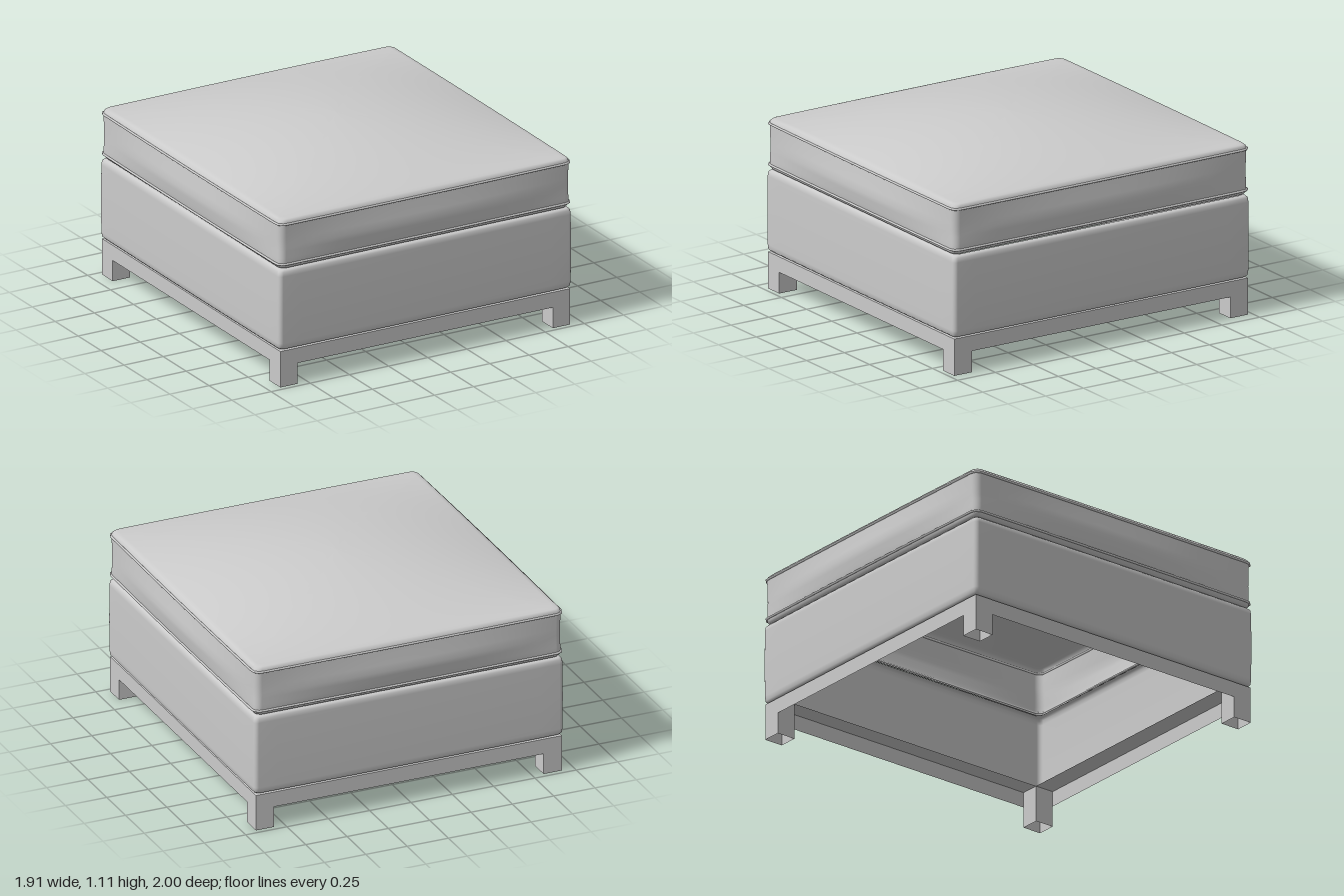
import * as THREE from 'three';

const material = new THREE.MeshStandardMaterial({ color: 0xcccccc, side: THREE.DoubleSide });
const flatMaterial = new THREE.MeshStandardMaterial({ color: 0xcccccc, side: THREE.DoubleSide, flatShading: true });

// Rounded rectangle in plan, its sides swelling outwards by `bulge` at the middle
function outline(hx, hz, r, bulge = 0) {
  const pts = [];
  const corners = [[1, 1], [-1, 1], [-1, -1], [1, -1]];
  corners.forEach(([sx, sz], c) => {
    for (let i = 0; i <= 6; i++) {
      const a = (c + i / 6) * Math.PI / 2;
      pts.push([sx * (hx - r) + r * Math.cos(a), sz * (hz - r) + r * Math.sin(a)]);
    }
    const [nx, nz] = corners[(c + 1) % 4];
    const alongX = c % 2 === 0;
    for (let i = 1; i < 16; i++) {
      const t = i / 8 - 1;
      const out = bulge * (1 - t * t);
      pts.push(alongX
        ? [sx * (hx - r) * -t, sz * (hz + out)]
        : [nx * (hx + out), nz * (hz - r) * t]);
    }
  });
  return pts;
}

// Skin a stack of closed loops of [x, y, z] points, bottom to top
function loft(loops) {
  const n = loops[0].length;
  const index = [];
  for (let j = 0; j < loops.length - 1; j++) {
    for (let i = 0; i < n; i++) {
      const a = j * n + i, b = j * n + (i + 1) % n;
      index.push(a, a + n, b, b, a + n, b + n);
    }
  }
  const geo = new THREE.BufferGeometry();
  geo.setAttribute('position', new THREE.Float32BufferAttribute(loops.flat(2), 3));
  geo.setIndex(index);
  geo.computeVertexNormals();
  return geo;
}

const ring = (y, hx, hz, r, bulge) => outline(hx, hz, r, bulge).map(([x, z]) => [x, y, z]);

export function createModel() {
  const model = new THREE.Group();
  const add = (name, geo, mat = material, parent = model) => {
    const mesh = new THREE.Mesh(geo, mat);
    mesh.name = name;
    parent.add(mesh);
    return mesh;
  };

  // Upholstered base: hollow shell with softened rims
  const baseRows = [[0.218, 0.905, 0.95], [0.221, 0.922, 0.967], [0.232, 0.932, 0.977], [0.26, 0.935, 0.98],
    [0.45, 0.936, 0.981], [0.655, 0.935, 0.98], [0.68, 0.932, 0.977], [0.69, 0.922, 0.967], [0.693, 0.905, 0.95]];
  add('upholsteredBase', loft(baseRows.map(([y, hx, hz]) => ring(y, hx, hz, 0.025, 0.003))));

  // Cushion sides: [height, half width, half depth, swelling]
  const sideRows = [[0.695, 0.9, 0.95, 0], [0.7, 0.918, 0.968, 0], [0.712, 0.928, 0.974, 0.003], [0.725, 0.93, 0.976, 0.006],
    [0.76, 0.929, 0.975, 0.014], [0.8, 0.928, 0.974, 0.021], [0.83, 0.927, 0.974, 0.026],
    [0.87, 0.928, 0.974, 0.02], [0.92, 0.929, 0.975, 0.012], [0.962, 0.93, 0.976, 0.006]];
  add('cushionSides', loft(sideRows.map(([y, hx, hz, b]) => ring(y, hx, hz, 0.04, b))));

  // Cushion top: rolled edge rising into a shallow dome
  const dome = (x, z) => 0.988 + 0.124 * Math.max(0, 1 - (x / 0.93) ** 2) * Math.max(0, 1 - (z / 0.975) ** 2);
  const topLoops = [ring(0.962, 0.93, 0.976, 0.04, 0.006), ring(0.978, 0.928, 0.974, 0.04, 0.004)];
  for (const s of [0.987, 0.96, 0.92, 0.86, 0.78, 0.68, 0.56, 0.42, 0.28, 0.14, 0]) {
    topLoops.push(outline(0.93, 0.976, 0.04).map(([x, z]) => [x * s, dome(x * s, z * s), z * s]));
  }
  add('cushionTop', loft(topLoops));

  // Piping along the lower and upper cushion seams
  for (const [name, y] of [['lowerPiping', 0.725], ['upperPiping', 0.962]]) {
    const path = new THREE.CatmullRomCurve3(
      ring(y, 0.933, 0.979, 0.04, 0.005).map(p => new THREE.Vector3(...p)), true);
    add(name, new THREE.TubeGeometry(path, 240, 0.007, 6, true));
  }

  // Frame: legs, aprons and a flat top ring
  const frame = new THREE.Group();
  frame.name = 'frame';
  model.add(frame);
  const hx = 0.925, hz = 0.972, lw = 0.11, ld = 0.117, top = 0.213, apron = 0.123;

  const legGeo = new THREE.CylinderGeometry(Math.SQRT1_2, Math.SQRT1_2, 1, 4, 1, true).rotateY(Math.PI / 4);
  for (const sx of [-1, 1]) {
    for (const sz of [-1, 1]) {
      const leg = add('leg', legGeo, flatMaterial, frame);
      leg.scale.set(lw, top, ld);
      leg.position.set(sx * (hx - lw / 2), top / 2, sz * (hz - ld / 2));
    }
  }

  for (const s of [-1, 1]) {
    const h = top - apron, y = (top + apron) / 2;
    const across = add('apron', new THREE.PlaneGeometry(2 * (hx - lw), h), flatMaterial, frame);
    across.position.set(0, y, s * hz);
    across.rotation.y = s > 0 ? 0 : Math.PI;
    const along = add('apron', new THREE.PlaneGeometry(2 * (hz - ld), h), flatMaterial, frame);
    along.position.set(s * hx, y, 0);
    along.rotation.y = s * Math.PI / 2;
  }

  const rect = (C, w, d) => new C([[-w, -d], [w, -d], [w, d], [-w, d]].map(p => new THREE.Vector2(...p)));
  const plate = rect(THREE.Shape, hx, hz);
  plate.holes.push(rect(THREE.Path, hx - lw, hz - ld));
  const plateMesh = add('frameTop', new THREE.ShapeGeometry(plate).rotateX(-Math.PI / 2), flatMaterial, frame);
  plateMesh.position.y = top;

  return model;
}
